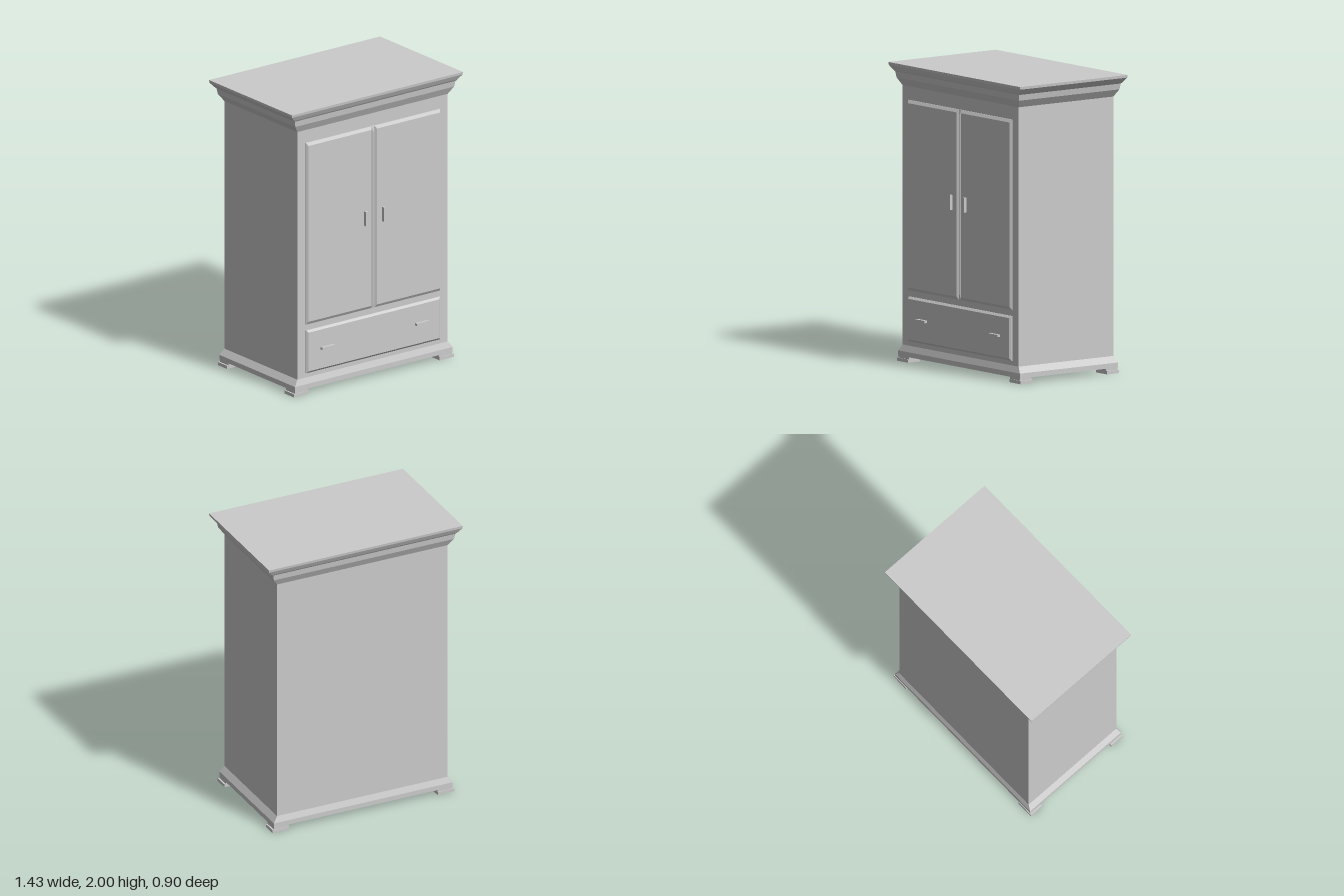
import * as THREE from 'three';

const material = new THREE.MeshStandardMaterial({ color: 0xcccccc, flatShading: true });

function addMesh(parent, name, geometry, x = 0, y = 0, z = 0) {
  const mesh = new THREE.Mesh(geometry, material);
  mesh.name = name;
  mesh.position.set(x, y, z);
  parent.add(mesh);
  return mesh;
}

// Closed solid lofted through rectangles given as [height, half width, half depth]
function rectLoft(levels) {
  const positions = [];
  const index = [];
  for (const [y, w, d] of levels) {
    positions.push(-w, y, d, w, y, d, w, y, -d, -w, y, -d);
  }
  for (let i = 0; i < levels.length - 1; i++) {
    for (let j = 0; j < 4; j++) {
      const a = i * 4 + j;
      const b = i * 4 + ((j + 1) % 4);
      index.push(a, b, b + 4, a, b + 4, a + 4);
    }
  }
  const t = (levels.length - 1) * 4;
  index.push(0, 2, 1, 0, 3, 2, t, t + 1, t + 2, t, t + 2, t + 3);
  const indexed = new THREE.BufferGeometry();
  indexed.setAttribute('position', new THREE.Float32BufferAttribute(positions, 3));
  indexed.setIndex(index);
  const geometry = indexed.toNonIndexed();
  geometry.computeVertexNormals();
  return geometry;
}

// Raised panel with bevelled edges, facing +z
function panelGeometry(width, height, bevelX, bevelY, depth) {
  const w = width / 2;
  const h = height / 2;
  return rectLoft([
    [-0.01, w, h],
    [depth * 0.3, w, h],
    [depth, w - bevelX, h - bevelY],
  ]).rotateX(Math.PI / 2);
}

export function createModel() {
  const wardrobe = new THREE.Group();
  wardrobe.name = 'wardrobe';
  const face = 0.396;

  // Carcass with its flared plinth
  addMesh(wardrobe, 'carcass', rectLoft([
    [0.037, 0.66, 0.41], [0.07, 0.66, 0.41], [0.112, 0.63, face], [1.85, 0.63, face],
  ]));

  // Stepped cornice
  addMesh(wardrobe, 'cornice', rectLoft([
    [1.85, 0.63, face], [1.9, 0.665, 0.42], [1.94, 0.673, 0.425],
    [1.95, 0.685, 0.432], [1.982, 0.714, 0.448], [2, 0.716, 0.45],
  ]));

  // Four stepped corner feet
  for (const sx of [-1, 1]) {
    for (const sz of [-1, 1]) {
      const foot = new THREE.Group();
      foot.name = 'foot';
      foot.position.set(sx * 0.61, 0, sz * 0.362);
      addMesh(foot, 'footPad', new THREE.BoxGeometry(0.122, 0.022, 0.1), 0, 0.011, 0);
      addMesh(foot, 'footBlock', new THREE.BoxGeometry(0.11, 0.02, 0.095), -sx * 0.006, 0.03, -sz * 0.0025);
      wardrobe.add(foot);
    }
  }

  // Pair of doors with upright handles
  for (const side of [-1, 1]) {
    const name = side > 0 ? 'left' : 'right';
    addMesh(wardrobe, `${name}Door`, panelGeometry(0.55, 1.275, 0.012, 0.02, 0.017),
      side * 0.287, 1.1225, face);
    addMesh(wardrobe, `${name}DoorHandle`, new THREE.BoxGeometry(0.018, 0.1, 0.03),
      side * 0.075, 1.132, 0.42);
  }

  // Bead covering the gap between the doors
  addMesh(wardrobe, 'centreBead', panelGeometry(0.024, 1.28, 0.009, 0.04, 0.012), 0, 1.123, face);

  // Drawer with two horizontal handles
  addMesh(wardrobe, 'drawer', panelGeometry(1.12, 0.3, 0.012, 0.014, 0.017), 0, 0.293, face);
  for (const side of [-1, 1]) {
    addMesh(wardrobe, 'drawerHandle', new THREE.BoxGeometry(0.106, 0.016, 0.03),
      side * 0.395, 0.299, 0.42);
  }

  return wardrobe;
}
